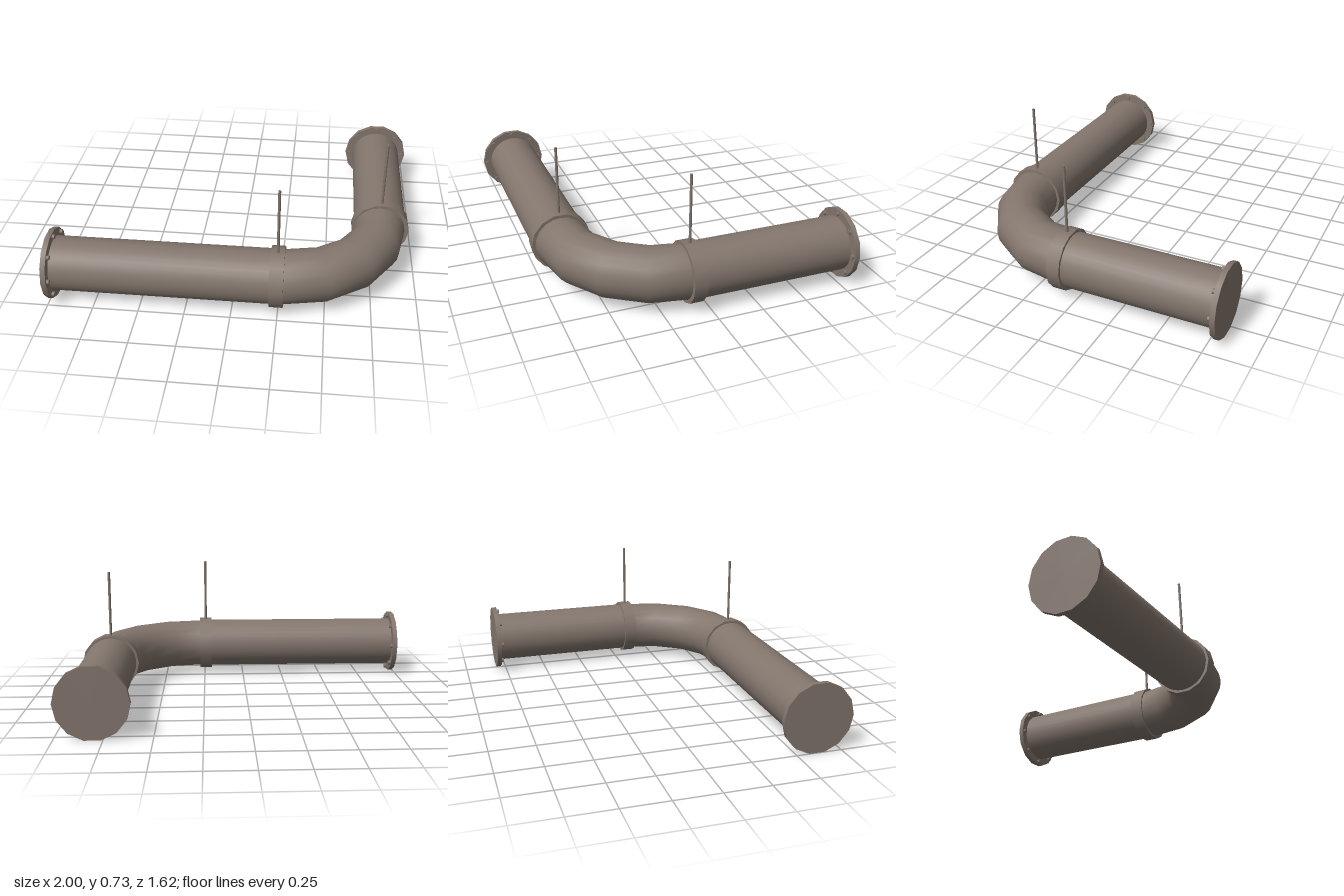
import * as THREE from 'three';

const AXIS_Y = 0.196;

export function createModel() {
  const model = new THREE.Group();
  model.name = 'pipeElbow';
  const metal = new THREE.MeshStandardMaterial({ color: 0x83766d });
  metal.name = 'brownGreyMetal';

  const add = (parent, name, geometry) => {
    const mesh = new THREE.Mesh(geometry, metal);
    mesh.name = name;
    parent.add(mesh);
    return mesh;
  };

  // Cylinder lying along x, from x0 to x1
  const cylinderX = (radius, x0, x1, sides) =>
    new THREE.CylinderGeometry(radius, radius, x1 - x0, sides)
      .rotateZ(-Math.PI / 2)
      .translate((x0 + x1) / 2, 0, 0);

  // Straight run along local x: end flange with bolts, pipe, collar and hanger rod
  function pipeRun(name, length, collarX) {
    const run = new THREE.Group();
    run.name = name;
    add(run, 'pipe', cylinderX(0.149, 0.01, length, 32));
    add(run, 'flange', cylinderX(0.195, 0, 0.028, 14));
    for (let i = 0; i < 8; i++) {
      const a = (i * Math.PI) / 4;
      add(run, 'bolt', cylinderX(0.013, 0.02, 0.042, 8))
        .position.set(0, 0.172 * Math.sin(a), 0.172 * Math.cos(a));
    }
    add(run, 'collar', cylinderX(0.165, collarX - 0.037, collarX + 0.037, 14));
    const rodBottom = 0.15, rodTop = 0.735 - AXIS_Y;
    add(run, 'hangerRod', new THREE.CylinderGeometry(0.0075, 0.0075, rodTop - rodBottom, 8))
      .position.set(collarX, (rodBottom + rodTop) / 2, 0);
    model.add(run);
    return run;
  }

  pipeRun('longRun', 1.271, 1.24).position.set(-0.998, AXIS_Y, 0.613);

  const shortRun = pipeRun('shortRun', 0.891, 0.891);
  shortRun.position.set(0.803, AXIS_Y, -0.808);
  shortRun.rotation.y = -Math.PI / 2;

  // Quarter bend in four segments joining the two runs
  const bend = new THREE.TorusGeometry(0.53, 0.147, 20, 4, Math.PI / 2).rotateX(Math.PI / 2);
  add(model, 'elbow', bend).position.set(0.273, AXIS_Y, 0.083);

  return model;
}
